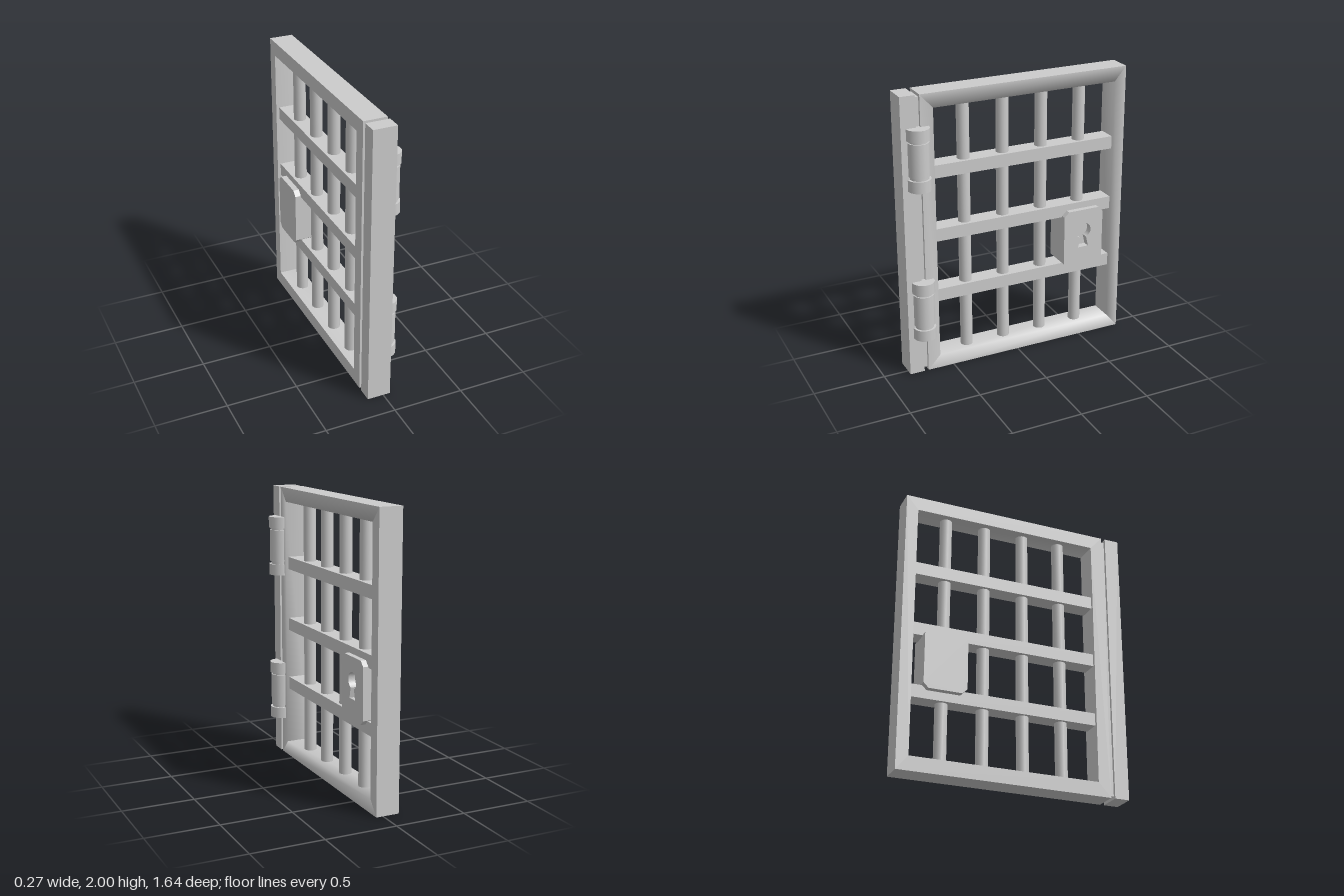
import * as THREE from 'three';

const material = new THREE.MeshStandardMaterial({ color: 0xcccccc });
const BACK = -0.115, FRONT = 0.05, MID = -0.03;

function add(group, name, geometry, x = 0, y = 0, z = 0) {
  const mesh = new THREE.Mesh(geometry, material);
  mesh.name = name;
  mesh.position.set(x, y, z);
  group.add(mesh);
  return mesh;
}

// Box given by its limits on each axis
function addBox(group, name, [x0, x1], [y0, y1], [z0, z1]) {
  return add(group, name, new THREE.BoxGeometry(x1 - x0, y1 - y0, z1 - z0),
    (x0 + x1) / 2, (y0 + y1) / 2, (z0 + z1) / 2);
}

// Mitred frame: four sides lofted from outer back to outer front, inner front, inner back
function frameGeometry() {
  const outer = [[0, 0.69], [0, -0.82], [2, -0.82], [2, 0.69]];
  const inner = [[0.1, 0.6], [0.1, -0.735], [1.9, -0.735], [1.9, 0.6]];
  const rings = [[BACK, outer], [FRONT, outer], [FRONT, inner], [BACK, inner], [BACK, outer]];
  const strips = [[0, 1], [1, 2, 3], [3, 4]]; // front and inner faces blend smoothly
  const positions = [], indices = [];
  for (let side = 0; side < 4; side++) {
    for (const strip of strips) {
      strip.forEach((r, k) => {
        const [x, ring] = rings[r];
        const base = positions.length / 3;
        positions.push(x, ...ring[side], x, ...ring[(side + 1) % 4]);
        if (k > 0) indices.push(base - 2, base - 1, base + 1, base - 2, base + 1, base);
      });
    }
  }
  const geometry = new THREE.BufferGeometry();
  geometry.setAttribute('position', new THREE.Float32BufferAttribute(positions, 3));
  geometry.setIndex(indices);
  geometry.computeVertexNormals();
  return geometry;
}

// Lock outline with clipped corners, drawn with the shape's x running along -z
function lockShape() {
  const a = 0.355, b = 0.66, y0 = 0.57, y1 = 1, c = 0.035;
  return new THREE.Shape([
    [a + c, y0], [b - c, y0], [b, y0 + c], [b, y1 - c],
    [b - c, y1], [a + c, y1], [a, y1 - c], [a, y0 + c],
  ].map(([x, y]) => new THREE.Vector2(x, y)));
}

function keyhole() {
  const cx = 0.508, cy = 0.84, r = 0.058;
  const path = new THREE.Path();
  path.moveTo(cx - 0.04, 0.715);
  path.lineTo(cx + 0.04, 0.715);
  path.lineTo(cx + r * Math.cos(-1.15), cy + r * Math.sin(-1.15));
  path.absarc(cx, cy, r, -1.15, Math.PI + 1.15, false);
  path.closePath();
  return path;
}

function createLock() {
  const lock = new THREE.Group();
  lock.name = 'lock';
  const layer = (name, shape, x0, x1) => {
    const geometry = new THREE.ExtrudeGeometry(shape,
      { depth: x1 - x0, bevelEnabled: false, curveSegments: 20 });
    add(lock, name, geometry.rotateY(Math.PI / 2), x0);
  };
  layer('lockBody', lockShape(), -0.135, 0.02);
  const face = lockShape();
  face.holes.push(keyhole());
  layer('lockFace', face, 0.02, 0.07);
  return lock;
}

// Hinge barrel: two end knuckles and a middle sleeve with grooves between
function createHinge(y) {
  const hinge = new THREE.Group();
  hinge.name = 'hinge';
  const parts = [
    ['hingeKnuckle', 0, 0.08, 0.08],
    ['hingePin', 0.07, 0.36, 0.064],
    ['hingeSleeve', 0.1, 0.33, 0.073],
    ['hingeKnuckle', 0.345, 0.425, 0.08],
  ];
  for (const [name, y0, y1, r] of parts) {
    add(hinge, name, new THREE.CylinderGeometry(r, r, y1 - y0, 14), 0, (y0 + y1) / 2, 0);
  }
  hinge.position.set(0.053, y, 0.71);
  return hinge;
}

export function createModel() {
  const door = new THREE.Group();
  door.name = 'barredDoor';

  // Frame, hinge post and the strip joining them
  add(door, 'doorFrame', frameGeometry());
  addBox(door, 'hingePost', [BACK, FRONT], [0, 2], [0.72, 0.825]);
  addBox(door, 'hingeStrip', [-0.095, 0.03], [0.02, 1.98], [0.685, 0.725]);

  // Upright round bars
  for (const z of [0.365, 0.08, -0.21, -0.5]) {
    add(door, 'uprightBar', new THREE.CylinderGeometry(0.043, 0.043, 1.84, 16), MID, 1, z);
  }

  // Flat cross bars
  for (const y of [0.555, 1.002, 1.455]) {
    addBox(door, 'crossBar', [-0.093, 0.033], [y - 0.045, y + 0.045], [-0.745, 0.61]);
  }

  door.add(createLock());
  for (const y of [0.275, 1.36]) door.add(createHinge(y));
  return door;
}
